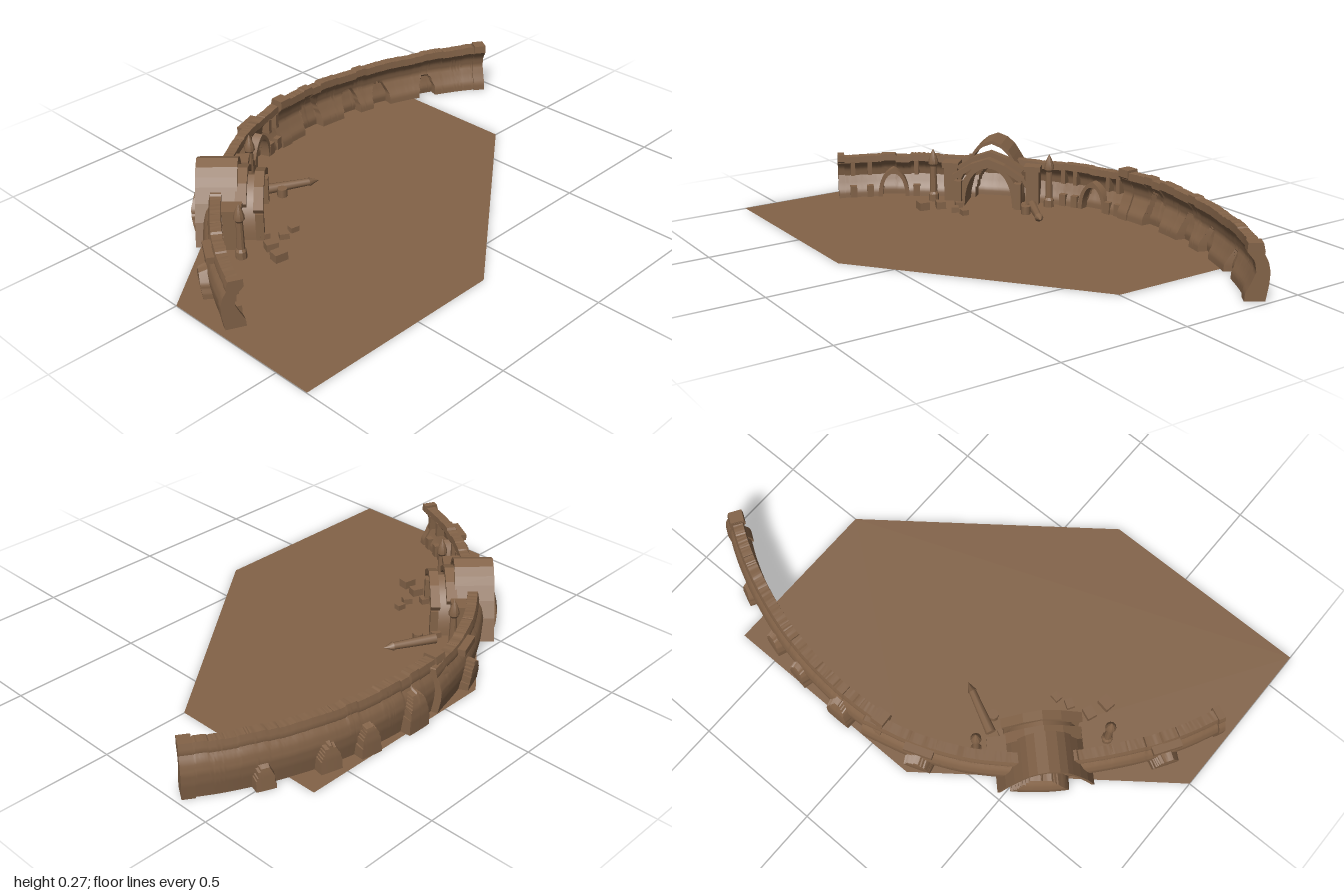
import * as THREE from 'three';
import { toCreasedNormals } from 'three/addons/utils/BufferGeometryUtils.js';

const stone = new THREE.MeshStandardMaterial({ color: 0x836348 });
stone.name = 'brown stone';
const earth = new THREE.MeshStandardMaterial({ color: 0x836348, side: THREE.DoubleSide });
earth.name = 'brown earth';

const V = (x, z) => new THREE.Vector3(x, 0, z);
const noise = (i) => { const s = Math.sin(i * 127.1 + 11.7) * 43758.5453; return s - Math.floor(s); };

function add(parent, geo, name, x = 0, y = 0, z = 0, ry = 0, mat = stone) {
  const m = new THREE.Mesh(geo, mat);
  m.name = name;
  m.position.set(x, y, z);
  m.rotation.y = ry;
  parent.add(m);
  return m;
}

// Finds the curve parameter at a given x (x always grows along the walls)
function paramAtX(curve, x) {
  let a = 0, b = 1;
  for (let i = 0; i < 24; i++) {
    const m = (a + b) / 2;
    if (curve.getPointAt(m).x < x) a = m; else b = m;
  }
  return a;
}

function frameAt(curve, t) {
  const p = curve.getPointAt(t), d = curve.getTangentAt(t);
  return { p, nx: d.z, nz: -d.x }; // n points out of the curve
}

// Wall section: bowed outwards, with a broad foot and a projecting top band
const inner = [[0, -0.024], [0.14, -0.022], [0.3, -0.005], [0.5, 0.012], [0.68, 0.006], [0.8, -0.012], [0.84, -0.022], [1, -0.02]];
const outer = [[0, 0.034], [0.3, 0.044], [0.5, 0.046], [0.68, 0.038], [0.8, 0.024], [0.84, 0.026], [1, 0.018]];
function lookup(table, f) {
  let i = 0;
  while (i < table.length - 2 && f > table[i + 1][0]) i++;
  const [f0, a] = table[i], [f1, b] = table[i + 1];
  return a + (b - a) * (f - f0) / (f1 - f0);
}

// Sweeps the section along a curve; niches [x, halfWidth, height, depth, taper] push the wall outwards
function sweepWall(curve, t0, t1, height, { grow = 0, niches = [], ragged = 0, steps = 200 } = {}) {
  const rows = 20, ring = 2 * (rows + 1), pos = [], idx = [];
  const spots = niches.map(([x, ...r]) => [curve.getPointAt(paramAtX(curve, x)), ...r]);
  for (let i = 0; i <= steps; i++) {
    const t = t0 + (t1 - t0) * i / steps;
    const { p, nx, nz } = frameAt(curve, t);
    const block = Math.floor(t * 22);
    const top = height - ragged * (noise(block) * 0.7 + noise(i) * 0.15);
    for (let k = 0; k < ring; k++) {
      const isIn = k <= rows, f = (isIn ? k : ring - 1 - k) / rows, y = f * top;
      let n = isIn ? lookup(inner, f) - grow : lookup(outer, f) + grow;
      for (const [c, w, h, depth, taper] of spots) {
        const s = p.distanceTo(c) / w;
        if (y < h && s * s + Math.pow(y / h, 2.4) < 1) n += depth * (1 - taper * y / h);
      }
      pos.push(p.x + nx * n, y, p.z + nz * n);
    }
  }
  for (let i = 0; i < steps; i++) for (let k = 0; k < ring; k++) {
    const a = i * ring + k, c = i * ring + (k + 1) % ring, b = a + ring, d = c + ring;
    idx.push(a, b, c, b, d, c);
  }
  for (let k = 0; k < rows; k++) { // end faces
    const a = k, b = k + 1, c = ring - 1 - k, d = ring - 2 - k, e = steps * ring;
    idx.push(a, b, c, b, d, c, a + e, c + e, b + e, b + e, c + e, d + e);
  }
  const g = new THREE.BufferGeometry();
  g.setAttribute('position', new THREE.Float32BufferAttribute(pos, 3));
  g.setIndex(idx);
  return toCreasedNormals(g, 0.6);
}

// Pointed arch ring standing on the ground, extruded along z
function archRing(w, h, iw, ih, depth) {
  const s = new THREE.Shape();
  s.moveTo(-w, 0);
  s.bezierCurveTo(-w, h * 0.5, -w * 0.6, h * 0.85, 0, h);
  s.bezierCurveTo(w * 0.6, h * 0.85, w, h * 0.5, w, 0);
  s.lineTo(iw, 0);
  s.bezierCurveTo(iw, ih * 0.6, iw * 0.6, ih, 0, ih);
  s.bezierCurveTo(-iw * 0.6, ih, -iw, ih * 0.6, -iw, 0);
  s.closePath();
  return toCreasedNormals(new THREE.ExtrudeGeometry(s, { depth, bevelEnabled: false, curveSegments: 10 }), 0.5);
}

// Thin band following a roof profile, mirrored in x and extruded along z
function roofBand(half, thick, depth) {
  const pts = [...half.map(([x, y]) => [-x, y]).reverse(), ...half.slice(1)];
  const low = [...pts].reverse().map(([x, y]) => [x * (1 - thick * 4), Math.max(0, y - thick)]);
  const s = new THREE.Shape([...pts, ...low].map(([x, y]) => new THREE.Vector2(x, y)));
  return new THREE.ExtrudeGeometry(s, { depth, bevelEnabled: false });
}

export function createModel() {
  const model = new THREE.Group();
  model.name = 'ruinedWall';

  // Ground sheet
  const hex = [[-1, 0], [-0.17, -0.64], [0.66, -0.64], [0.66, 0], [-0.17, 0.64], [-1, 0.64]];
  const ground = new THREE.ShapeGeometry(new THREE.Shape(hex.map(([x, z]) => new THREE.Vector2(x, -z))));
  ground.rotateX(-Math.PI / 2);
  add(model, ground, 'ground', 0, 0.001, 0, 0, earth);

  // Two curved walls
  const left = new THREE.CatmullRomCurve3([V(-0.935, 0.24), V(-0.87, 0.1), V(-0.79, -0.03), V(-0.68, -0.17), V(-0.55, -0.31),
    V(-0.42, -0.41), V(-0.3, -0.485), V(-0.15, -0.55), V(0.05, -0.605)]);
  const right = new THREE.CatmullRomCurve3([V(-0.03, -0.573), V(0.15, -0.583), V(0.3, -0.575), V(0.5, -0.54), V(0.7, -0.472),
    V(0.85, -0.4), V(0.96, -0.33)]);
  const leftNiches = [-0.83, -0.17];
  add(model, sweepWall(left, 0, 1, 0.185, { ragged: 0.015, steps: 240,
    niches: [...leftNiches.map((x) => [x, 0.05, 0.1, 0.035, 0.2]), [-0.54, 0.1, 0.15, 0.05, 0]] }), 'leftWall');
  add(model, sweepWall(right, 0, 1, 0.205, { ragged: 0.014, steps: 220,
    niches: [[0.16, 0.05, 0.145, 0.04, 0.6], [0.37, 0.042, 0.115, 0.04, 0.6], [0.52, 0.042, 0.1, 0.04, 0.6], [0.73, 0.035, 0.09, 0.035, 0.7]] }), 'rightWall');

  // End posts of the right wall and the left wall's broken end
  for (const [c, a, b, h] of [[right, 0, 0.05, 0.207], [right, 0.955, 1, 0.207], [left, 0, 0.02, 0.187]])
    add(model, sweepWall(c, a, b, h, { grow: 0.007, steps: 4 }), 'endPost');

  // Arch frames and buttress strips on the inside of the left wall
  const onWall = (geo, name, x, y, off) => {
    const { p, nx, nz } = frameAt(left, paramAtX(left, x));
    add(model, geo, name, p.x + nx * off, y, p.z + nz * off, Math.atan2(-nx, -nz));
  };
  for (const x of leftNiches) {
    onWall(archRing(0.066, 0.125, 0.048, 0.1, 0.045), 'nicheFrame', x, 0, 0.015);
    onWall(new THREE.BoxGeometry(0.11, 0.025, 0.03), 'outerLedge', x, 0.155, 0.035);
  }
  for (const x of [-0.91, -0.88, -0.775, -0.73, -0.3, -0.25, -0.1, -0.05]) {
    onWall(new THREE.BoxGeometry(0.018, 0.06, 0.04), 'corbel', x, 0.125, -0.004);
    onWall(new THREE.BoxGeometry(0.028, 0.05, 0.03), 'wallFoot', x, 0.025, -0.016);
  }

  // Gatehouse, local z facing the court
  const gate = new THREE.Group();
  gate.name = 'gatehouse';
  gate.position.set(-0.54, 0, -0.29);
  gate.rotation.y = Math.PI / 4;
  model.add(gate);
  const vault = [[0, 0.265], [0.04, 0.25], [0.07, 0.225], [0.09, 0.195], [0.12, 0.145], [0.15, 0.085], [0.18, 0]];
  add(gate, roofBand(vault, 0.014, 0.15), 'vaultRoof', 0, 0, -0.093);
  add(gate, archRing(0.135, 0.195, 0.1, 0.165, 0.15), 'porchArch', 0, 0, -0.02);
  add(gate, roofBand([[0, 0.21], [0.07, 0.185], [0.15, 0.135]], 0.02, 0.035), 'porchGable', 0, 0, 0.115);
  add(gate, roofBand([[0, 0.225], [0.07, 0.2], [0.14, 0.155]], 0.02, 0.04), 'porchGable', 0, 0, 0.05);
  for (const s of [-1, 1]) {
    add(gate, new THREE.BoxGeometry(0.055, 0.15, 0.06), 'gatePost', s * 0.173, 0.075, 0.04);
    add(gate, new THREE.BoxGeometry(0.07, 0.022, 0.075), 'postCap', s * 0.173, 0.155, 0.04);
    add(gate, new THREE.BoxGeometry(0.03, 0.11, 0.03), 'porchPier', s * 0.125, 0.055, 0.135);
    // Free-standing spires
    const profile = [[0.021, 0], [0.021, 0.03], [0.015, 0.04], [0.013, 0.15], [0.02, 0.16], [0.02, 0.175], [0.012, 0.2], [0, 0.225]];
    const spire = new THREE.LatheGeometry(profile.map(([x, y]) => new THREE.Vector2(x, y)), 10);
    add(gate, toCreasedNormals(spire, 0.5), 'spire', s * 0.245, 0, 0.075);
  }

  // Fallen column and rubble
  const column = add(model, new THREE.CylinderGeometry(0.014, 0.02, 0.18, 8), 'fallenColumn', -0.235, 0.02, -0.287, -0.46);
  column.rotation.z = -Math.PI / 2;
  const tip = add(model, new THREE.ConeGeometry(0.018, 0.04, 8), 'columnTip', -0.142, 0.02, -0.241, -0.46);
  tip.rotation.z = -Math.PI / 2;
  add(model, new THREE.CylinderGeometry(0.02, 0.02, 0.035, 8), 'columnDrum', -0.28, 0.017, -0.27);
  for (const [x, z, s] of [[-0.575, 0.04, 0.042], [-0.55, -0.03, 0.038], [-0.47, -0.05, 0.03], [-0.415, -0.06, 0.028], [-0.52, -0.1, 0.03], [-0.35, -0.3, 0.03]])
    add(model, new THREE.BoxGeometry(s, s * 0.8, s * 1.2), 'rubble', x, s * 0.4, z, noise(x * 50) * 1.5);

  return model;
}
